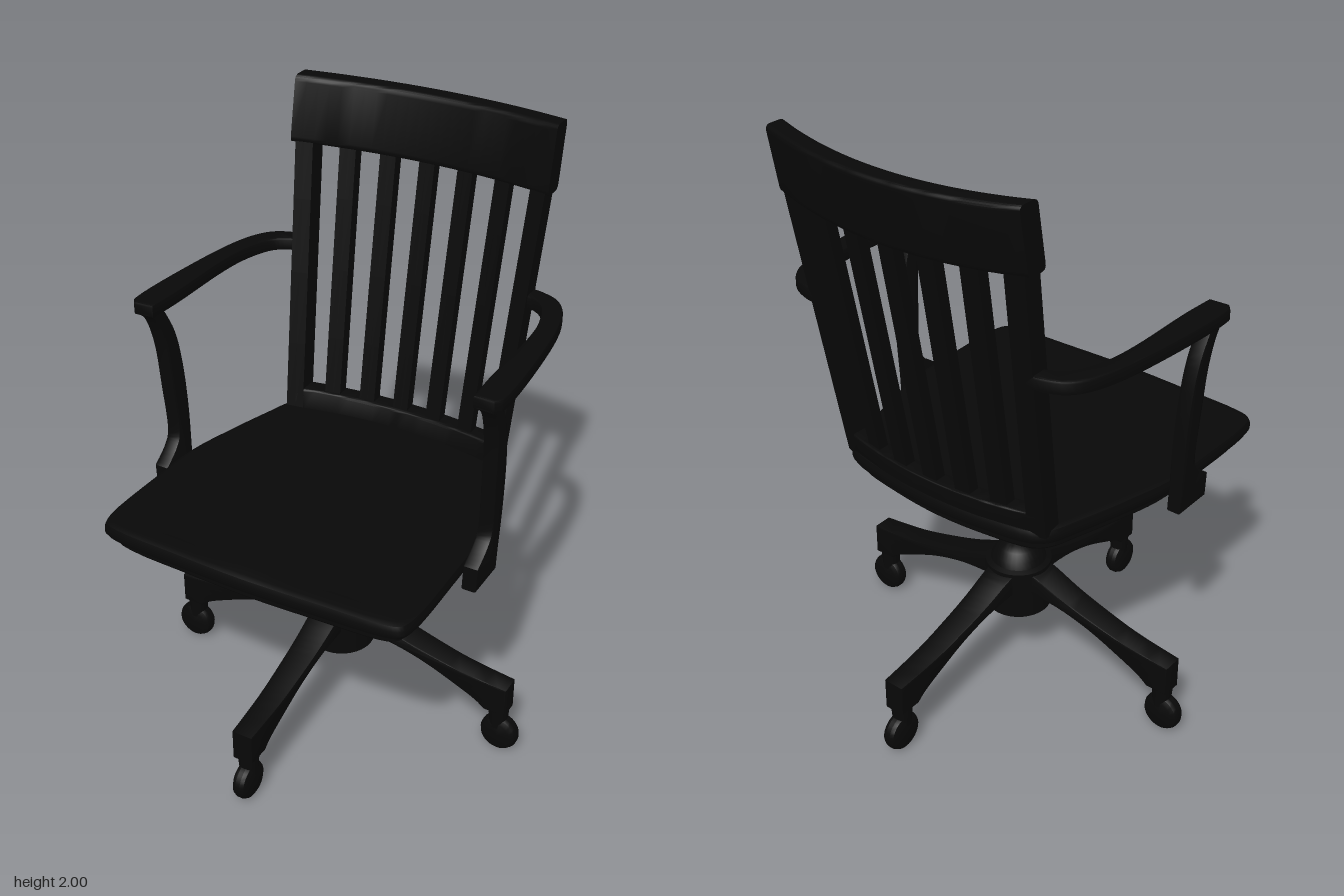
import * as THREE from 'three';
import { toCreasedNormals } from 'three/addons/utils/BufferGeometryUtils.js';

const material = new THREE.MeshStandardMaterial({ color: 0x080808 });

function add(parent, name, geometry, crease = 0.6) {
  const mesh = new THREE.Mesh(toCreasedNormals(geometry, crease), material);
  mesh.name = name;
  parent.add(mesh);
  return mesh;
}

// Move every vertex by a rule
function warp(geometry, rule) {
  const p = geometry.attributes.position;
  const v = new THREE.Vector3();
  for (let i = 0; i < p.count; i++) {
    rule(v.fromBufferAttribute(p, i));
    p.setXYZ(i, v.x, v.y, v.z);
  }
  return geometry;
}

const lathe = (points, sides = 32) =>
  new THREE.LatheGeometry(points.map(([r, y]) => new THREE.Vector2(r, y)), sides);

const smooth = (points, n) =>
  new THREE.SplineCurve(points.map(([x, y]) => new THREE.Vector2(x, y))).getPoints(n);

// Centred extrusion of an outline, with a small rounded edge
function slab(points, depth, bevel = 0.008, steps = 1) {
  const geometry = new THREE.ExtrudeGeometry(new THREE.Shape(points), {
    depth: depth - 2 * bevel, steps, bevelEnabled: bevel > 0, curveSegments: 6,
    bevelThickness: bevel, bevelSize: bevel, bevelOffset: -bevel, bevelSegments: 2,
  });
  return geometry.translate(0, 0, bevel - depth / 2);
}

// Depth of the leaning, curved backrest surface
const backZ = (x, y) => -0.395 - 0.178 * (y - 0.9) + 0.36 * x * x;

// Saddle seat built from scaled rings of one outline
function seatGeometry() {
  const half = [[0, 0.622], [0.25, 0.614], [0.47, 0.602], [0.52, 0.585], [0.537, 0.54], [0.539, 0.3],
    [0.53, 0.1], [0.49, -0.07], [0.44, -0.24], [0.405, -0.34], [0.36, -0.382], [0.2, -0.415], [0, -0.43]];
  const mirrored = half.slice(1, -1).reverse().map(([x, z]) => [-x, z]);
  const loop = [...half, ...mirrored].map(([x, z]) => new THREE.Vector3(x, 0, z));
  const n = 96;
  const outline = new THREE.CatmullRomCurve3(loop, true).getPoints(n).slice(0, n);
  const rings = [[0, 0.885], [0.15, 0.885], [0.3, 0.885], [0.45, 0.885], [0.6, 0.885], [0.75, 0.885],
    [0.87, 0.885], [0.96, 0.885], [0.99, 0.877], [1, 0.862], [1, 0.845], [0.985, 0.83],
    [0.94, 0.83], [0.94, 0.797], [0.92, 0.785], [0, 0.785]];
  const position = [], index = [];
  rings.forEach(([s, y], j) => {
    for (const p of outline) {
      const x = p.x * s, z = 0.1 + (p.z - 0.1) * s;
      // hollow the top, leaving a low ridge at the front middle
      const ridge = Math.exp(-x * x * 90) * THREE.MathUtils.smoothstep(z, 0, 0.5);
      const dip = j < 8 ? 0.028 * (1 - s * s) * (1 - 0.8 * ridge) : 0;
      position.push(x, y - dip, z);
    }
    if (j === 0) return;
    for (let i = 0; i < n; i++) {
      const k = (i + 1) % n, a = (j - 1) * n, b = j * n;
      if (s > 0) index.push(a + i, b + i, b + k);
      if (rings[j - 1][0] > 0) index.push(a + i, b + k, a + k);
    }
  });
  const geometry = new THREE.BufferGeometry();
  geometry.setAttribute('position', new THREE.Float32BufferAttribute(position, 3));
  geometry.setIndex(index);
  return geometry;
}

// Curved horizontal rail following the backrest
function rail(y0, y1, halfWidth, depth, round, rise) {
  const h = (y1 - y0) / 2, d = depth / 2, r = round;
  const s = new THREE.Shape();
  s.moveTo(-d + r, -h).lineTo(d - r, -h).quadraticCurveTo(d, -h, d, -h + r);
  s.lineTo(d, h - r).quadraticCurveTo(d, h, d - r, h);
  s.lineTo(-d + r, h).quadraticCurveTo(-d, h, -d, h - r);
  s.lineTo(-d, -h + r).quadraticCurveTo(-d, -h, -d + r, -h);
  const geometry = slab(s.getPoints(5), 2 * halfWidth, 0, 24).rotateY(Math.PI / 2);
  return warp(geometry, (v) => {
    v.y += (y0 + y1) / 2;
    v.z += backZ(v.x, v.y);
    v.y += rise * ((v.x / halfWidth) ** 2 - 1);
  });
}

// Upright slat, fanning outwards as it rises
function slat(xBottom, xTop, y0, width, depth) {
  const y1 = 1.85;
  const geometry = new THREE.BoxGeometry(width, y1 - y0, depth, 2, 4, 1);
  return warp(geometry, (v) => {
    v.y += (y0 + y1) / 2;
    v.x += THREE.MathUtils.mapLinear(v.y, 0.93, 1.78, xBottom, xTop);
    v.z += backZ(v.x, v.y);
  });
}

function armrest(parent, side) {
  const arm = new THREE.Group();
  arm.name = side > 0 ? 'leftArm' : 'rightArm';
  parent.add(arm);

  // Bowed arm, flat on top
  const outer = smooth([[0.39, -0.465], [0.45, -0.458], [0.52, -0.425], [0.567, -0.35], [0.598, -0.22],
    [0.62, -0.02], [0.63, 0.14], [0.628, 0.215]], 28);
  const inner = smooth([[0.545, 0.232], [0.538, 0.1], [0.538, -0.12], [0.527, -0.25], [0.495, -0.35],
    [0.45, -0.395], [0.39, -0.41]], 28);
  const outline = [...outer, new THREE.Vector2(0.612, 0.236), ...inner];
  outline.forEach((p) => { p.x *= side; });
  add(arm, 'armTop', slab(outline, 0.045).rotateX(Math.PI / 2).translate(0, 1.443, 0));

  // Shaped support down to the seat edge
  const front = smooth([[-0.24, 1.43], [-0.195, 1.385], [-0.163, 1.28], [-0.15, 1.13], [-0.14, 0.97],
    [-0.165, 0.915], [-0.225, 0.87]], 28);
  const back = smooth([[-0.08, 0.87], [-0.076, 1.03], [-0.085, 1.19], [-0.11, 1.32], [-0.165, 1.43]], 20);
  const profile = [...front, new THREE.Vector2(-0.225, 0.785), new THREE.Vector2(-0.08, 0.785), ...back];
  const support = slab(profile, 0.05, 0.006).rotateY(Math.PI / 2);
  add(arm, 'armSupport', warp(support, (v) => {
    v.x += side * THREE.MathUtils.mapLinear(v.y, 0.785, 1.43, 0.558, 0.582);
  }));
}

function baseLeg(parent, angle) {
  const leg = new THREE.Group();
  leg.name = 'baseLeg';
  leg.rotation.y = angle;
  parent.add(leg);

  // Tapered spoke with a sweeping top and arched underside
  const top = smooth([[0.05, 0.41], [0.12, 0.395], [0.22, 0.357], [0.33, 0.325], [0.47, 0.293], [0.635, 0.274]], 20);
  const under = smooth([[0.56, 0.168], [0.525, 0.195], [0.45, 0.232], [0.33, 0.283], [0.2, 0.317], [0.05, 0.33]], 20);
  const spoke = slab([...top, new THREE.Vector2(0.635, 0.165), ...under], 0.1, 0.006);
  add(leg, 'spoke', warp(spoke, (v) => { v.z *= (0.056 - 0.031 * v.x) / 0.05; }));

  // Caster
  add(leg, 'casterNeck', new THREE.CylinderGeometry(0.036, 0.03, 0.09, 20).translate(0.6, 0.14, 0));
  const wheel = lathe([[0, -0.028], [0.045, -0.028], [0.06, -0.02], [0.066, -0.008],
    [0.066, 0.008], [0.06, 0.02], [0.045, 0.028], [0, 0.028]]);
  add(leg, 'casterWheel', wheel.rotateX(Math.PI / 2).translate(0.608, 0.067, 0));
}

export function createModel() {
  const chair = new THREE.Group();
  chair.name = 'swivelArmchair';

  const upper = new THREE.Group();
  upper.name = 'seatAndBack';
  upper.position.x = 0.008;
  chair.add(upper);
  add(upper, 'seat', seatGeometry());

  // Backrest
  add(upper, 'topRail', rail(1.785, 2, 0.453, 0.075, 0.02, 0.012));
  add(upper, 'lowerRail', rail(0.86, 0.948, 0.375, 0.065, 0.01, 0.006));
  for (let i = -3; i <= 3; i++) {
    const post = Math.abs(i) === 3;
    add(upper, post ? 'backPost' : 'backSlat',
      slat(i * 0.125, i * 0.137, post ? 0.86 : 0.9, post ? 0.056 : 0.054, post ? 0.065 : 0.04));
  }
  armrest(upper, 1);
  armrest(upper, -1);

  // Swivel mechanism
  const mechanism = new THREE.Group();
  mechanism.name = 'swivelMechanism';
  chair.add(mechanism);
  add(mechanism, 'mountingPlate', new THREE.CylinderGeometry(0.255, 0.255, 0.02, 40).translate(0, 0.778, 0));
  add(mechanism, 'housing', lathe([[0, 0.598], [0.04, 0.6], [0.07, 0.618], [0.092, 0.655], [0.1, 0.7], [0.102, 0.775]]));
  add(mechanism, 'tensionCap', new THREE.CylinderGeometry(0.055, 0.055, 0.13, 28).rotateX(Math.PI / 2).translate(0, 0.69, 0.068));
  const knob = lathe([[0, 0.06], [0.028, 0.06], [0.028, 0.14], [0.017, 0.145], [0.017, 0.2],
    [0.03, 0.225], [0.06, 0.262], [0.06, 0.272], [0, 0.272]], 24);
  add(mechanism, 'adjusterKnob', knob.rotateZ(-Math.PI / 2).translate(0, 0.688, 0));
  add(mechanism, 'column', new THREE.CylinderGeometry(0.027, 0.027, 0.2, 24).translate(0, 0.54, 0));

  // Four-spoke base
  const base = new THREE.Group();
  base.name = 'base';
  chair.add(base);
  add(base, 'hub', lathe([[0, 0.238], [0.112, 0.238], [0.112, 0.412], [0.094, 0.418], [0.085, 0.44],
    [0.066, 0.466], [0.045, 0.48], [0, 0.484]]));
  for (let i = 0; i < 4; i++) baseLeg(base, i * Math.PI / 2);

  return chair;
}
